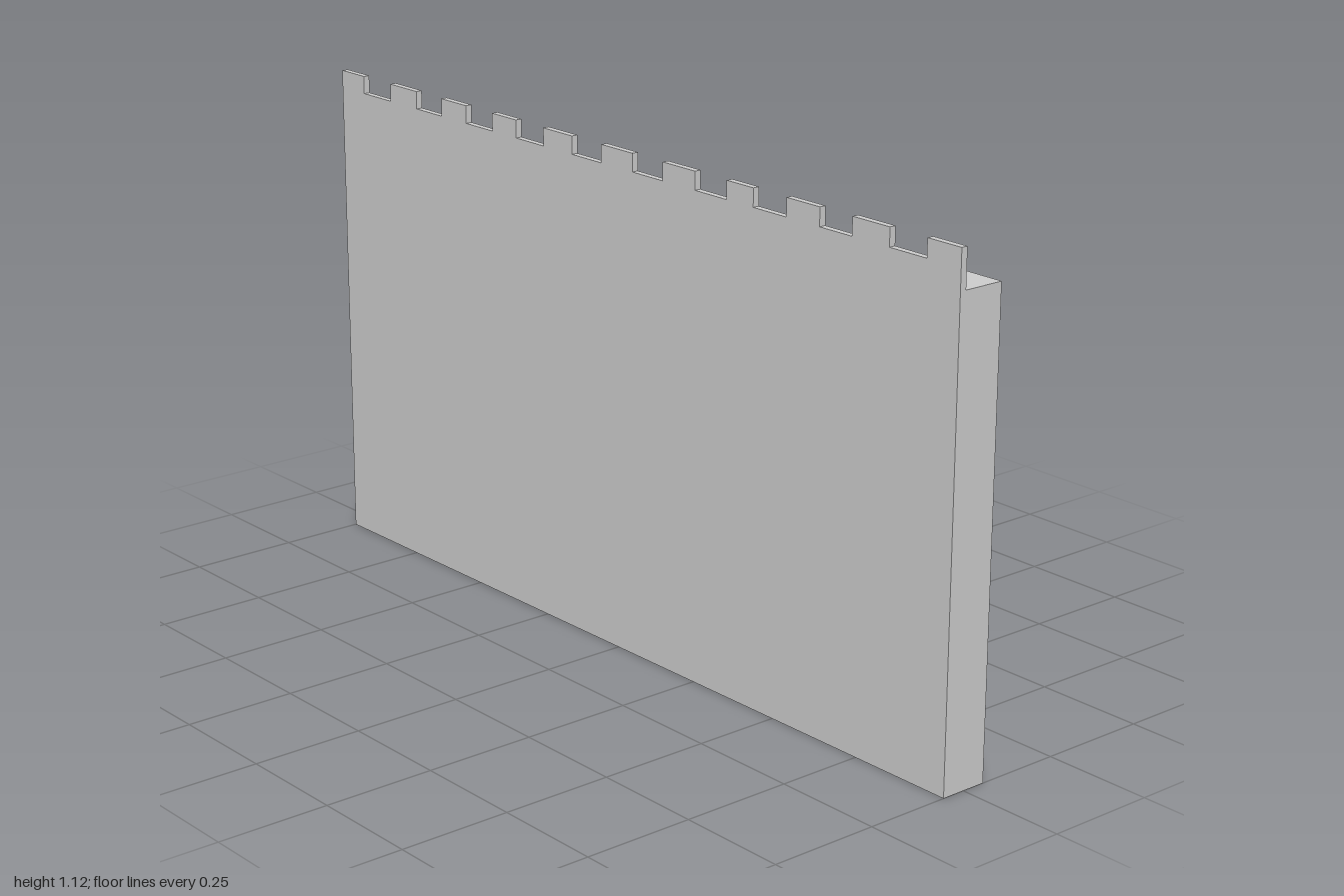
import * as THREE from 'three';

const WIDTH = 2, DEPTH = 0.11, WALK = 1.035; // wall size and walkway height
const NOTCH = 1.08, TOP = 1.12, THICK = 0.015; // parapet levels and thickness

// Left and right edge of each merlon
const MERLONS = [
  [-1, -0.914], [-0.81, -0.71], [-0.616, -0.525], [-0.43, -0.345],
  [-0.25, -0.152], [-0.054, 0.048], [0.145, 0.246], [0.343, 0.423],
  [0.52, 0.616], [0.707, 0.81], [0.91, 1],
];

export function createModel() {
  const group = new THREE.Group();
  group.name = 'battlementWall';
  const material = new THREE.MeshStandardMaterial({ color: 0xcccccc, side: THREE.DoubleSide });

  // Hollow wall body, open underneath (the box's fourth side is its bottom)
  const box = new THREE.BoxGeometry(WIDTH, WALK, DEPTH);
  const index = Array.from(box.index.array);
  index.splice(18, 6);
  box.setIndex(index);
  box.clearGroups();
  box.translate(0, WALK / 2, 0);
  const wall = new THREE.Mesh(box, material);
  wall.name = 'wall';
  group.add(wall);

  // Thin crenellated parapet along the front edge
  const outline = new THREE.Shape();
  outline.moveTo(WIDTH / 2, WALK);
  for (const [left, right] of [...MERLONS].reverse()) {
    if (right < WIDTH / 2) outline.lineTo(right, NOTCH);
    outline.lineTo(right, TOP);
    outline.lineTo(left, TOP);
    if (left > -WIDTH / 2) outline.lineTo(left, NOTCH);
  }
  outline.lineTo(-WIDTH / 2, WALK);
  outline.closePath();
  const parapet = new THREE.Mesh(
    new THREE.ExtrudeGeometry(outline, { depth: THICK, bevelEnabled: false }), material);
  parapet.position.z = DEPTH / 2 - THICK;
  parapet.name = 'parapet';
  group.add(parapet);

  return group;
}
